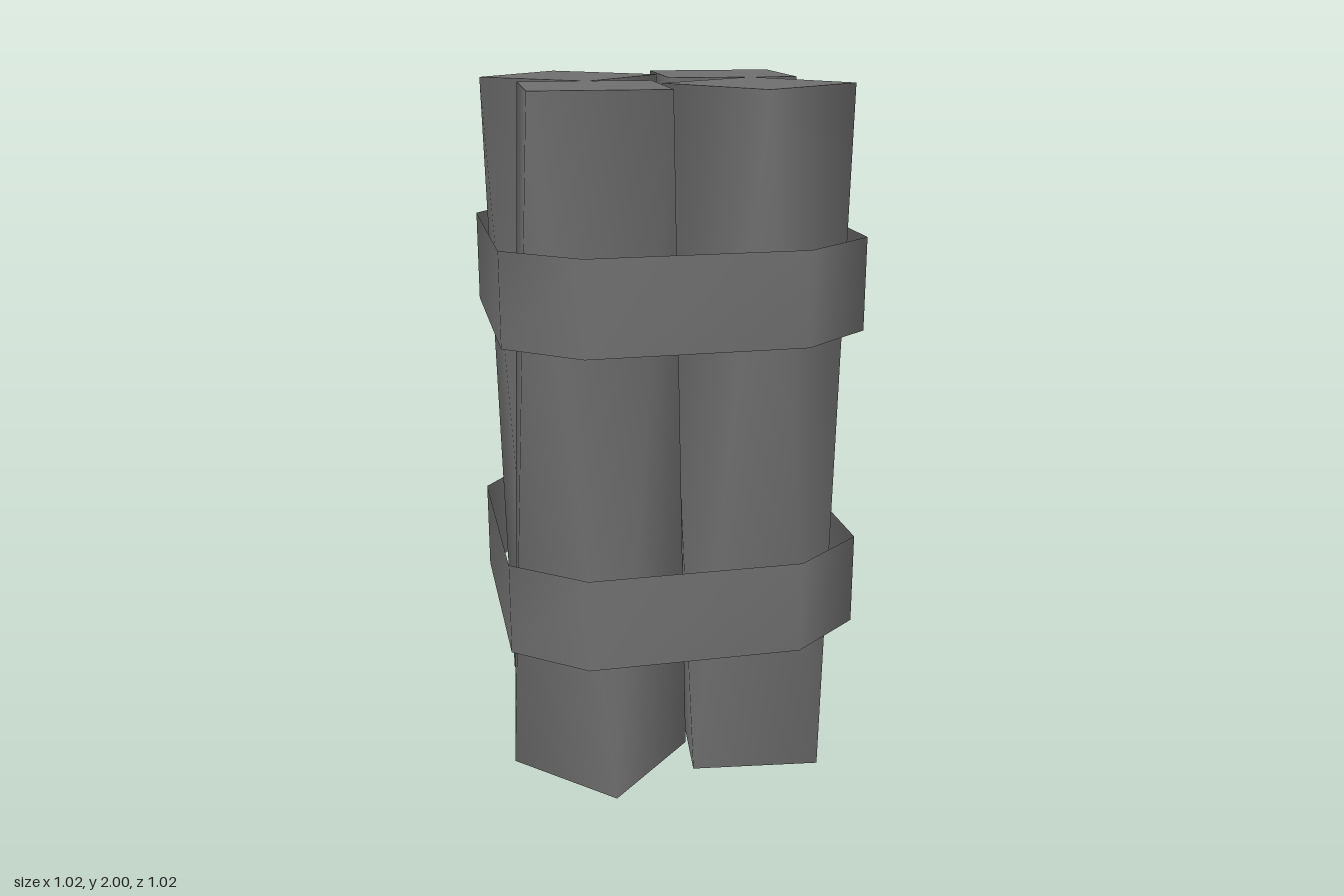
import * as THREE from 'three';

const HEIGHT = 2;
const RADIUS = 0.266;
const TWIST = THREE.MathUtils.degToRad(48);

// Square post whose foot is twisted against its top; the round normals turn along
function makePost(material, x, z, topDegrees) {
  const geometry = new THREE.CylinderGeometry(RADIUS, RADIUS, HEIGHT, 4, 1);
  const { position, normal } = geometry.attributes;
  const v = new THREE.Vector3();
  const up = new THREE.Vector3(0, 1, 0);
  const top = THREE.MathUtils.degToRad(topDegrees);
  for (let i = 0; i < position.count; i++) {
    const angle = position.getY(i) > 0 ? top : top + TWIST;
    for (const attribute of [position, normal]) {
      v.fromBufferAttribute(attribute, i).applyAxisAngle(up, angle);
      attribute.setXYZ(i, v.x, v.y, v.z);
    }
  }
  const post = new THREE.Mesh(geometry, material);
  post.position.set(x, HEIGHT / 2, z);
  return post;
}

// Thin open strap: chamfered square outline raised between two heights, smooth corners
function makeStrap(material, y0, y1) {
  const s = 0.51;
  const outline = [
    [0.3, s], [s, 0.35], [s, -0.355], [0.32, -s],
    [-0.35, -s], [-s, -0.31], [-s, 0.35], [-0.31, s],
  ];
  const positions = [];
  const index = [];
  const n = outline.length;
  outline.forEach(([x, z], i) => {
    positions.push(x, y0, z, x, y1, z);
    const a = i * 2;
    const b = ((i + 1) % n) * 2;
    index.push(a, b, b + 1, a, b + 1, a + 1);
  });
  const geometry = new THREE.BufferGeometry();
  geometry.setAttribute('position', new THREE.Float32BufferAttribute(positions, 3));
  geometry.setIndex(index);
  geometry.computeVertexNormals();
  return new THREE.Mesh(geometry, material);
}

export function createModel() {
  const model = new THREE.Group();
  model.name = 'strappedPostBundle';
  const postMaterial = new THREE.MeshStandardMaterial({ color: 0x6f6f6f });
  const strapMaterial = new THREE.MeshStandardMaterial({
    color: 0x6f6f6f, side: THREE.DoubleSide,
  });

  // Four posts: name, x, z, rotation of the top square
  const posts = [
    ['backRightPost', -0.228, -0.223, 2.6],
    ['backLeftPost', 0.237, -0.238, 42],
    ['frontRightPost', -0.233, 0.222, 42],
    ['frontLeftPost', 0.23, 0.214, 80],
  ];
  for (const [name, x, z, angle] of posts) {
    const post = makePost(postMaterial, x, z, angle);
    post.name = name;
    model.add(post);
  }

  // Two straps around the bundle
  const straps = [['lowerStrap', 0.43, 0.7], ['upperStrap', 1.325, 1.59]];
  for (const [name, y0, y1] of straps) {
    const strap = makeStrap(strapMaterial, y0, y1);
    strap.name = name;
    model.add(strap);
  }
  return model;
}
